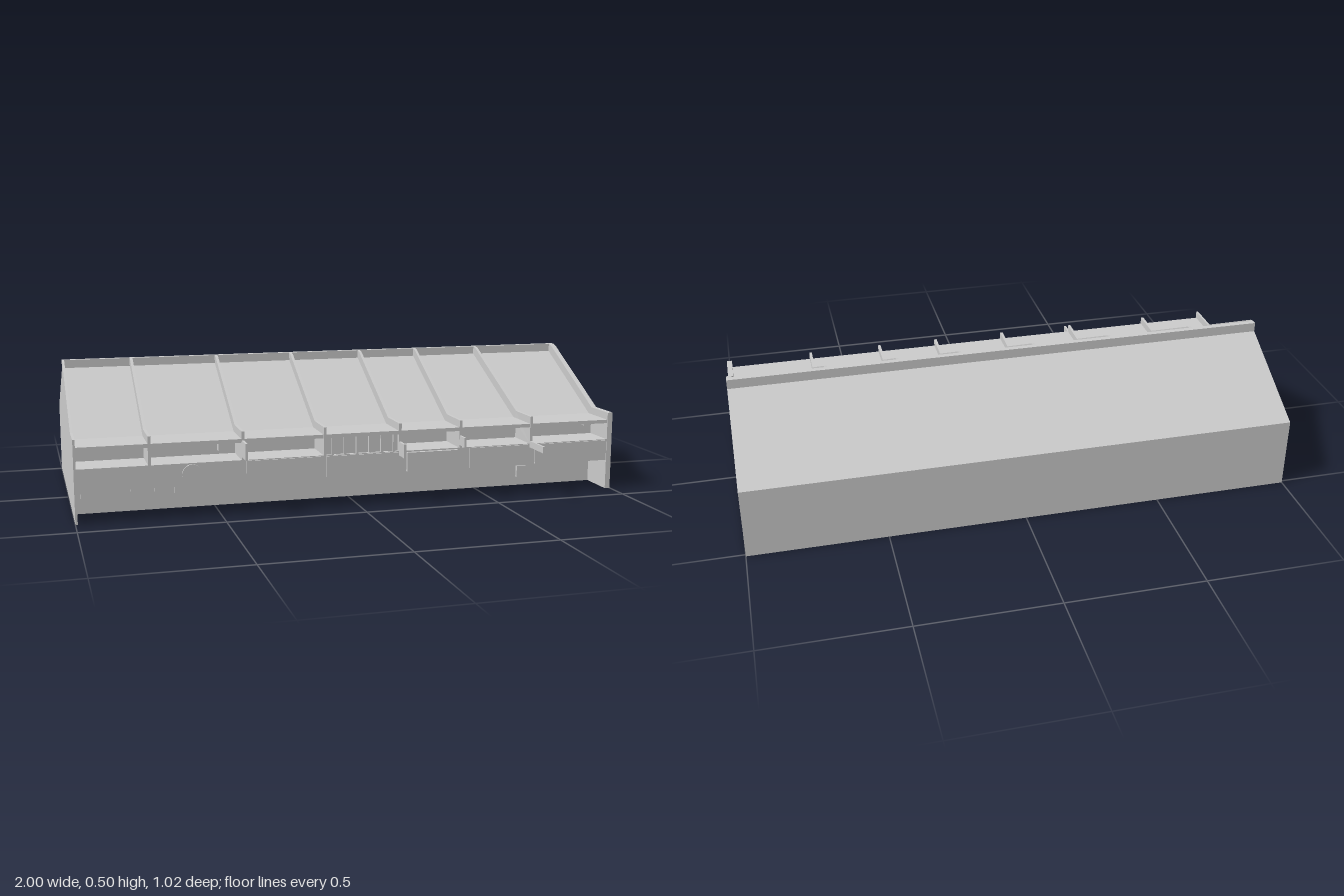
import * as THREE from 'three';

const mat = new THREE.MeshStandardMaterial({ color: 0xcccccc, flatShading: true });

export function createModel() {
  const group = new THREE.Group();

  const add = (name, geometry) => {
    const mesh = new THREE.Mesh(geometry, mat);
    mesh.name = name;
    group.add(mesh);
    return mesh;
  };

  // Extrude a [z, y] profile along x from x0 to x1
  const slab = (name, points, x0, x1) => {
    const shape = new THREE.Shape(points.map(([z, y]) => new THREE.Vector2(z, y)));
    const geo = new THREE.ExtrudeGeometry(shape, { depth: x1 - x0, bevelEnabled: false });
    geo.rotateY(-Math.PI / 2).translate(x1, 0, 0);
    return add(name, geo);
  };

  // Box given by its limits on each axis
  const box = (name, x0, x1, y0, y1, z0, z1) => {
    const geo = new THREE.BoxGeometry(x1 - x0, y1 - y0, z1 - z0);
    geo.translate((x0 + x1) / 2, (y0 + y1) / 2, (z0 + z1) / 2);
    return add(name, geo);
  };

  // Main body: recessed shop front, jutting fascia, open upper gallery, roof and ridge kerb
  slab('body', [
    [-0.51, 0], [0.26, 0], [0.26, 0.11], [0.397, 0.11], [0.397, 0.19], [0.27, 0.19],
    [0.27, 0.252], [0.397, 0.252], [0.397, 0.265], [0.25, 0.265], [-0.12, 0.465],
    [-0.12, 0.495], [-0.14, 0.495], [-0.14, 0.46], [-0.51, 0.265],
  ], -0.992, 0.98);

  // Gable walls closing both ends
  const gable = [
    [-0.51, 0], [0.4, 0], [0.4, 0.292], [0.27, 0.292], [-0.1, 0.49], [-0.12, 0.495],
    [-0.14, 0.495], [-0.14, 0.46], [-0.51, 0.265],
  ];
  slab('rightGable', gable, -1, -0.992);
  slab('leftGable', gable, 0.98, 1);

  // Party walls standing above the front roof
  const partyWall = [
    [0.4, 0.19], [0.4, 0.292], [0.27, 0.292], [-0.1, 0.49], [-0.12, 0.495],
    [-0.12, 0.455], [0.25, 0.255], [0.26, 0.19],
  ];
  for (const x of [-0.745, -0.42, -0.125, 0.155, 0.388]) {
    slab('partyWall', partyWall, x - 0.005, x + 0.005);
  }

  // One party wall runs slightly askew
  const skew = slab('skewedPartyWall', partyWall, 0.663, 0.673).geometry;
  const p = skew.attributes.position;
  for (let i = 0; i < p.count; i++) {
    p.setX(i, p.getX(i) - 0.02 * Math.min(1, Math.max(0, (0.27 - p.getZ(i)) / 0.39)));
  }
  skew.computeVertexNormals();

  // Fascia panels, one per shop
  for (const [x0, x1] of [[-0.41, -0.13], [-0.12, 0.148], [0.425, 0.658], [0.685, 0.972]]) {
    box('fasciaPanel', x0, x1, 0.113, 0.187, 0.39, 0.402);
  }
  box('raisedFasciaPanel', 0.18, 0.375, 0.115, 0.185, 0.39, 0.41);

  // Panelled front closing the middle bay of the gallery
  box('bayPanel', -0.12, 0.15, 0.19, 0.252, 0.375, 0.385);
  for (let i = 0; i < 6; i++) {
    const x = -0.1 + i * 0.046;
    box('bayMullion', x, x + 0.008, 0.19, 0.252, 0.38, 0.395);
  }

  // Awning strips and small boards hanging under the fascia
  for (const [x0, x1, y] of [[-0.98, -0.82, 0.085], [-0.81, -0.76, 0.09], [-0.73, -0.68, 0.09], [-0.66, -0.45, 0.085]]) {
    box('hangingStrip', x0, x1, y, 0.112, 0.385, 0.397);
  }
  box('hangingBoard', 0.615, 0.65, 0.065, 0.108, 0.385, 0.397);

  // Round plaque on the fascia
  const disc = new THREE.CylinderGeometry(0.034, 0.034, 0.008, 20);
  disc.rotateX(Math.PI / 2).translate(-0.6, 0.152, 0.4);
  add('roundPlaque', disc);

  // Thin boards projecting from the front
  for (const [x, y0, y1, z1] of [
    [-0.42, 0.2, 0.26, 0.46], [0.155, 0.175, 0.225, 0.455],
    [0.388, 0.2, 0.235, 0.447], [0.668, 0.176, 0.2, 0.51],
  ]) {
    box('projectingBoard', x - 0.004, x + 0.004, y0, y1, 0.39, z1);
  }

  // Small boxes inside the gallery
  box('galleryBox', -0.49, -0.43, 0.205, 0.237, 0.27, 0.3);
  box('galleryBox', 0.19, 0.21, 0.225, 0.25, 0.27, 0.29);
  box('galleryBox', 0.94, 0.97, 0.225, 0.25, 0.27, 0.29);

  return group;
}
